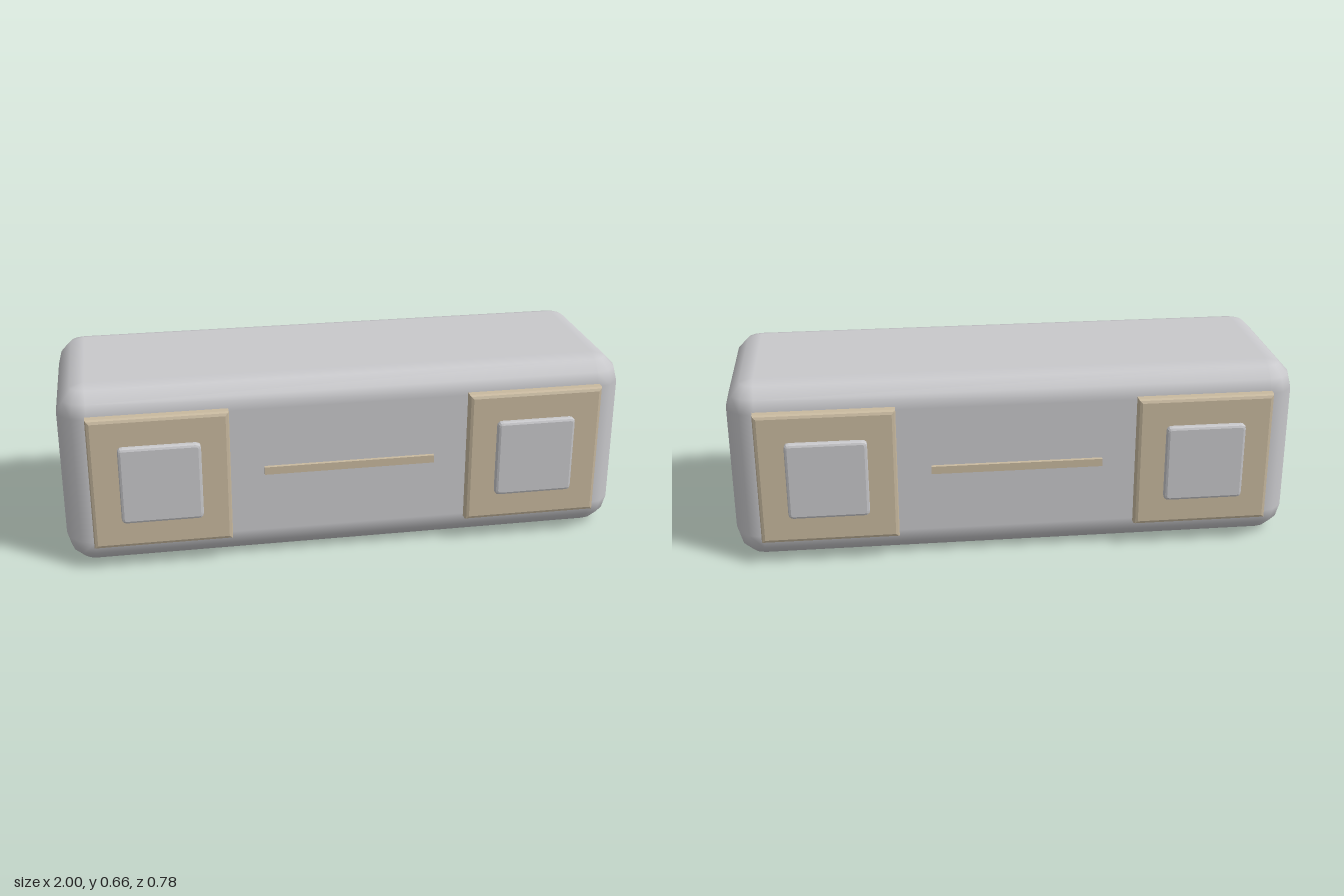
import * as THREE from 'three';
import { ConvexGeometry } from 'three/addons/geometries/ConvexGeometry.js';

const grey = new THREE.MeshStandardMaterial({ name: 'pale grey', color: 0xc8c8cb });
const tan = new THREE.MeshStandardMaterial({ name: 'warm tan', color: 0xc8b99f });

// Box with rounded edges of three steps and smooth normals.
function roundedBlock(w, h, d, r) {
  const core = new THREE.Vector3(w / 2 - r, h / 2 - r, d / 2 - r);
  const points = [];
  for (const sx of [-1, 1]) for (const sy of [-1, 1]) for (const sz of [-1, 1]) {
    for (let i = 0; i <= 3; i++) for (let j = 0; j <= (i === 3 ? 0 : 3); j++) {
      const a = i * Math.PI / 6, b = j * Math.PI / 6;
      points.push(new THREE.Vector3(
        sx * (core.x + r * Math.cos(a) * Math.cos(b)),
        sy * (core.y + r * Math.sin(a)),
        sz * (core.z + r * Math.cos(a) * Math.sin(b))));
    }
  }
  const geometry = new ConvexGeometry(points);
  const { position, normal } = geometry.attributes;
  const p = new THREE.Vector3(), low = core.clone().negate();
  for (let i = 0; i < position.count; i++) {
    p.fromBufferAttribute(position, i);
    p.sub(p.clone().clamp(low, core)).normalize();
    normal.setXYZ(i, p.x, p.y, p.z);
  }
  return geometry;
}

// Square plate with bevelled rims, running from z = from to z = to.
function plate(size, from, to, bevel, corner) {
  const s = size / 2, c = corner;
  const shape = new THREE.Shape();
  shape.moveTo(-s + c, -s);
  for (const [x, y, dx, dy] of [[1, -1, 0, 1], [1, 1, -1, 0], [-1, 1, 0, -1], [-1, -1, 1, 0]]) {
    const px = x * s, py = y * s;
    shape.lineTo(px - (dy ? x * c : 0), py - (dx ? y * c : 0));
    if (c) shape.quadraticCurveTo(px, py, px + dx * c, py + dy * c);
  }
  const geometry = new THREE.ExtrudeGeometry(shape, {
    depth: to - from - 2 * bevel, bevelThickness: bevel, bevelSize: bevel,
    bevelOffset: -bevel, bevelSegments: 2, curveSegments: 3,
  });
  return geometry.translate(0, 0, from + bevel);
}

function addMesh(parent, name, geometry, material, x, y, z) {
  const mesh = new THREE.Mesh(geometry, material);
  mesh.name = name;
  mesh.position.set(x, y, z);
  parent.add(mesh);
}

export function createModel() {
  const model = new THREE.Group();
  model.name = 'block';
  const midY = 0.332;
  addMesh(model, 'body', roundedBlock(2, 0.663, 0.663, 0.1), grey, 0, midY, 0);

  const padGeometry = plate(0.483, 0.29, 0.367, 0.013, 0);
  const buttonGeometry = plate(0.282, 0.33, 0.389, 0.01, 0.018);
  const barGeometry = new THREE.BoxGeometry(0.605, 0.028, 0.04);

  // The same fittings sit on the front and the back.
  for (const side of ['front', 'back']) {
    const face = new THREE.Group();
    face.name = side + 'Fittings';
    if (side === 'back') face.rotation.y = Math.PI;
    for (const x of [-0.663, 0.663]) {
      const hand = x > 0 ? 'left' : 'right';
      addMesh(face, hand + 'Pad', padGeometry, tan, x, midY, 0);
      addMesh(face, hand + 'Button', buttonGeometry, grey, x, midY, 0);
    }
    addMesh(face, 'centreBar', barGeometry, tan, 0, midY + 0.002, 0.325);
    model.add(face);
  }
  return model;
}
